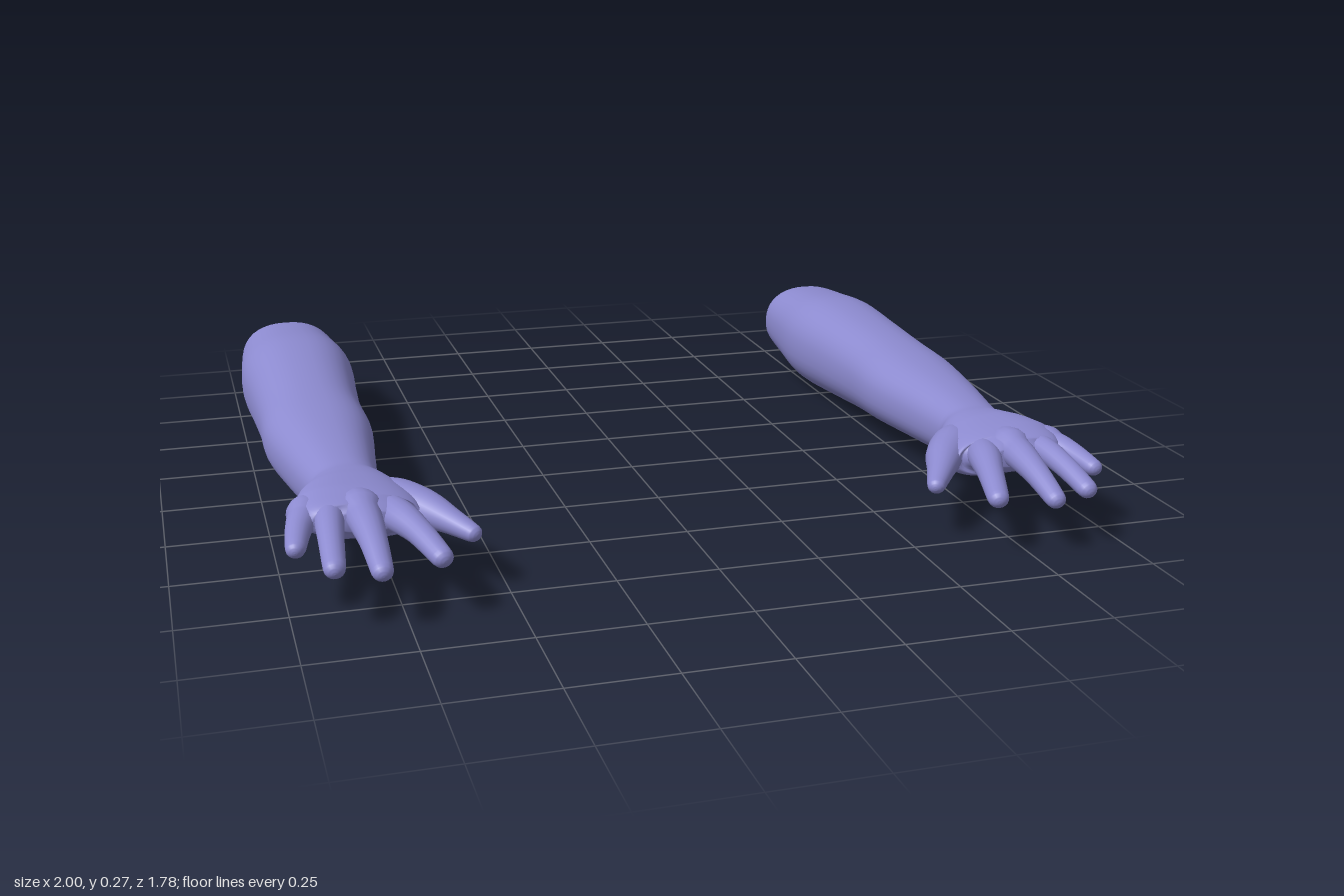
import * as THREE from 'three';

const skin = new THREE.MeshStandardMaterial({ color: 0x8c8acf });
const UP = new THREE.Vector3(0, 1, 0);

// Smooth closed loft through stations [x, y, z, halfWidth, halfHeight, roll].
// side = -1 mirrors it across x; power sets how square the section is.
function loft(stations, side, { steps = 5, segments = 28, power = 2 } = {}) {
  const path = new THREE.CatmullRomCurve3(stations.map(s => new THREE.Vector3(s[0], s[1], s[2])));
  const size = new THREE.CatmullRomCurve3(stations.map(s => new THREE.Vector3(s[3], s[4], s[5] || 0)));
  const rows = (stations.length - 1) * steps;
  const pos = [], index = [];
  const push = p => pos.push(p.x * side, p.y, p.z);
  const tri = (a, b, c) => (side > 0 ? index.push(a, b, c) : index.push(a, c, b));
  const round = v => Math.sign(v) * Math.abs(v) ** (2 / power);

  for (let i = 0; i <= rows; i++) {
    const c = path.getPoint(i / rows), t = path.getTangent(i / rows), r = size.getPoint(i / rows);
    const across = UP.clone().cross(t).normalize();
    const above = t.clone().cross(across);
    for (let j = 0; j < segments; j++) {
      const a = (j / segments) * Math.PI * 2;
      const u = round(Math.cos(a)) * r.x;
      const v = round(Math.sin(a)) * r.y + u * r.z;
      push(c.clone().addScaledVector(across, u).addScaledVector(above, v));
    }
  }
  for (let i = 0; i < rows; i++) {
    for (let j = 0; j < segments; j++) {
      const k = (j + 1) % segments;
      const a = i * segments + j, b = i * segments + k;
      tri(a, b, b + segments);
      tri(a, b + segments, a + segments);
    }
  }
  // end caps
  const first = pos.length / 3, last = first + 1, base = rows * segments;
  push(path.getPoint(0));
  push(path.getPoint(1));
  for (let j = 0; j < segments; j++) {
    const k = (j + 1) % segments;
    tri(first, k, j);
    tri(last, base + j, base + k);
  }
  const geo = new THREE.BufferGeometry();
  geo.setAttribute('position', new THREE.Float32BufferAttribute(pos, 3));
  geo.setIndex(index);
  geo.computeVertexNormals();
  return geo;
}

// Finger through points [x, y, z, radius], finished with a rounded tip.
function finger(points, side) {
  const stations = points.map(([x, y, z, r]) => [x, y, z, r, r * 0.92]);
  const [p, q] = points.slice(-2).map(a => new THREE.Vector3(a[0], a[1], a[2]));
  const dir = q.clone().sub(p).normalize();
  const r = points[points.length - 1][3];
  for (const a of [0.5, 0.95, 1.3, 1.53]) {
    const c = q.clone().addScaledVector(dir, r * Math.sin(a));
    stations.push([c.x, c.y, c.z, r * Math.cos(a), r * 0.92 * Math.cos(a)]);
  }
  return loft(stations, side, { segments: 18 });
}

// Forearm, wrist and palm
const ARM = [
  [0.84, 0.146, -0.893, 0.118, 0.092],
  [0.84, 0.146, -0.88, 0.133, 0.105],
  [0.84, 0.144, -0.76, 0.146, 0.12],
  [0.838, 0.142, -0.59, 0.158, 0.137],
  [0.84, 0.143, -0.4, 0.147, 0.129],
  [0.842, 0.145, -0.2, 0.138, 0.116],
  [0.84, 0.147, -0.04, 0.14, 0.106],
  [0.835, 0.148, 0.18, 0.114, 0.092],
  [0.826, 0.149, 0.37, 0.09, 0.078],
  [0.818, 0.154, 0.44, 0.111, 0.077, 0.05],
  [0.814, 0.161, 0.5, 0.135, 0.072, 0.1],
  [0.814, 0.168, 0.56, 0.147, 0.062, 0.1],
  [0.817, 0.171, 0.605, 0.135, 0.052, 0.08],
  [0.812, 0.174, 0.638, 0.105, 0.04, 0.05],
  [0.812, 0.176, 0.657, 0.07, 0.022, 0.03],
];

const FINGERS = {
  thumb: [[0.765, 0.16, 0.43, 0.045], [0.712, 0.159, 0.495, 0.056], [0.66, 0.157, 0.56, 0.048],
    [0.617, 0.15, 0.63, 0.034], [0.576, 0.139, 0.695, 0.023]],
  indexFinger: [[0.765, 0.168, 0.53, 0.04], [0.735, 0.175, 0.63, 0.041], [0.702, 0.168, 0.73, 0.032],
    [0.67, 0.146, 0.835, 0.026]],
  middleFinger: [[0.82, 0.18, 0.53, 0.042], [0.814, 0.186, 0.64, 0.042], [0.808, 0.17, 0.76, 0.032],
    [0.805, 0.141, 0.866, 0.025]],
  ringFinger: [[0.872, 0.182, 0.53, 0.036], [0.89, 0.185, 0.64, 0.034], [0.898, 0.171, 0.74, 0.029],
    [0.904, 0.147, 0.838, 0.025]],
  littleFinger: [[0.912, 0.176, 0.5, 0.036], [0.945, 0.177, 0.6, 0.036], [0.962, 0.172, 0.66, 0.03],
    [0.976, 0.161, 0.738, 0.023]],
};

function arm(side) {
  const group = new THREE.Group();
  group.name = side > 0 ? 'leftArm' : 'rightArm';
  const add = (name, geo) => {
    const mesh = new THREE.Mesh(geo, skin);
    mesh.name = name;
    group.add(mesh);
  };
  add('forearmAndPalm', loft(ARM, side, { segments: 40, power: 2.3 }));
  for (const [name, points] of Object.entries(FINGERS)) add(name, finger(points, side));
  return group;
}

export function createModel() {
  const model = new THREE.Group();
  model.name = 'pairOfArms';
  model.add(arm(1), arm(-1));
  return model;
}
